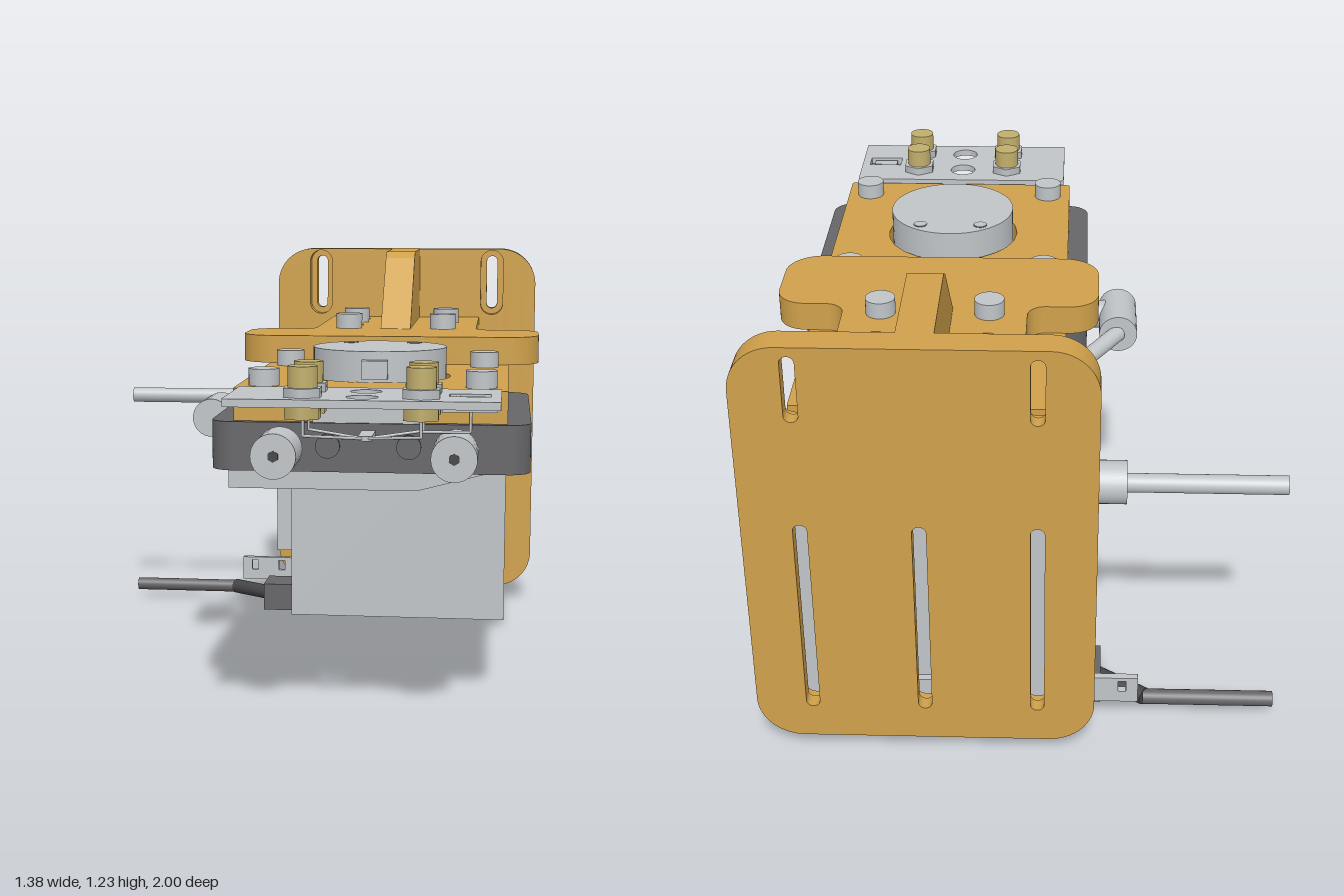
import * as THREE from 'three';

const mat = (name, color) => Object.assign(new THREE.MeshStandardMaterial({ color }), { name });

// Rounded rectangle outline; works for shapes and for slot holes
function roundRect(p, x0, y0, x1, y1, r) {
  p.moveTo(x0 + r, y0);
  p.lineTo(x1 - r, y0); p.absarc(x1 - r, y0 + r, r, -Math.PI / 2, 0);
  p.lineTo(x1, y1 - r); p.absarc(x1 - r, y1 - r, r, 0, Math.PI / 2);
  p.lineTo(x0 + r, y1); p.absarc(x0 + r, y1 - r, r, Math.PI / 2, Math.PI);
  p.lineTo(x0, y0 + r); p.absarc(x0 + r, y0 + r, r, Math.PI, Math.PI * 1.5);
  return p;
}
const circle = (x, y, r) => new THREE.Path().absarc(x, y, r, 0, Math.PI * 2);

export function createModel() {
  const model = new THREE.Group();
  const tan = mat('tan printed plastic', 0xd0a14b);
  const grey = mat('light grey metal', 0xc1c5c8);
  const dark = mat('dark grey housing', 0x666669);
  const brass = mat('brass', 0xc2af6c);
  const green = mat('green circuit board', 0x2f7a52);
  const black = mat('black socket', 0x454547);

  const add = (name, geo, m) => {
    const mesh = new THREE.Mesh(geo, m);
    mesh.name = name;
    model.add(mesh);
    return mesh;
  };
  const box = (name, m, x0, x1, y0, y1, z0, z1) =>
    add(name, new THREE.BoxGeometry(x1 - x0, y1 - y0, z1 - z0), m)
      .position.set((x0 + x1) / 2, (y0 + y1) / 2, (z0 + z1) / 2);
  // Cylinder between two points
  const rod = (name, m, a, b, r, sides = 32) => {
    const p = new THREE.Vector3(...a), q = new THREE.Vector3(...b), d = q.clone().sub(p);
    const mesh = add(name, new THREE.CylinderGeometry(r, r, d.length(), sides), m);
    mesh.position.copy(p).add(q).multiplyScalar(0.5);
    mesh.quaternion.setFromUnitVectors(new THREE.Vector3(0, 1, 0), d.normalize());
  };
  const extrude = (shape, depth) =>
    new THREE.ExtrudeGeometry(shape, { depth, bevelEnabled: false, curveSegments: 12 });
  // Horizontal slab; shape coordinates are (x, -z)
  const slab = (name, m, shape, y0, y1) =>
    add(name, extrude(shape, y1 - y0).rotateX(-Math.PI / 2).translate(0, y0, 0), m);

  // Upright mounting plate: narrow slots behind, wide counterbores in front
  for (const [z0, z1, hw, grow] of [[-1, -0.96, 0.018, 0], [-0.96, -0.917, 0.038, 0.02]]) {
    const s = roundRect(new THREE.Shape(), -0.2, 0.048, 0.692, 1.232, 0.12);
    for (const [x, y0, y1] of [[-0.05, 1.027, 1.207], [0.543, 1.027, 1.207],
      [-0.05, 0.147, 0.727], [0.246, 0.147, 0.727], [0.543, 0.147, 0.727]])
      s.holes.push(roundRect(new THREE.Path(), x - hw, y0 - grow, x + hw, y1 + grow, hw - 0.0005));
    add('mountingPlate', extrude(s, z1 - z0).translate(0, 0, z0), tan);
  }

  // Upper arm with a wide rounded shoulder
  const arm = new THREE.Shape();
  arm.moveTo(-0.005, 0.92);
  arm.lineTo(-0.005, 0.375);
  arm.absarc(-0.055, 0.375, 0.05, 0, -Math.PI / 2, true);
  arm.lineTo(-0.12, 0.325);
  arm.absarc(-0.12, 0.245, 0.08, Math.PI / 2, Math.PI);
  arm.lineTo(-0.2, 0.125);
  arm.absarc(-0.1, 0.125, 0.1, Math.PI, Math.PI * 1.5);
  arm.lineTo(0.592, 0.025);
  arm.absarc(0.592, 0.125, 0.1, -Math.PI / 2, 0);
  arm.lineTo(0.692, 0.245);
  arm.absarc(0.612, 0.245, 0.08, 0, Math.PI / 2);
  arm.lineTo(0.55, 0.325);
  arm.absarc(0.55, 0.375, 0.05, -Math.PI / 2, -Math.PI, true);
  arm.lineTo(0.5, 0.92);
  for (const x of [0.098, 0.395]) for (const z of [0.8, 0.515]) arm.holes.push(circle(x, z, 0.035));
  slab('upperArm', tan, arm, 0.915, 0.997);

  // Stiffening rib between arm and mounting plate
  const rib = new THREE.Shape([[0.325, 0.98], [0.92, 0.98], [0.92, 1.232], [0.6, 1.232],
    [0.56, 1.212], [0.34, 0.997]].map(p => new THREE.Vector2(...p)));
  add('rib', extrude(rib, 0.094).rotateY(Math.PI / 2).translate(0.2, 0, 0), tan);

  // Lower plate with the opening for the round sensor
  const lower = roundRect(new THREE.Shape(), -0.11, -0.692, 0.602, 0.735, 0.005);
  lower.holes.push(circle(0.246, -0.32, 0.197));
  slab('lowerPlate', tan, lower, 0.83, 0.915);

  // Round sensor with key tab and pin holes
  rod('roundSensor', grey, [0.246, 0.825, 0.32], [0.246, 0.997, 0.32], 0.185, 64);
  box('sensorTab', grey, 0.211, 0.281, 0.925, 0.975, 0.49, 0.535);
  for (const x of [0.155, 0.335]) {
    rod('pinHole', dark, [x, 0.99, 0.2], [x, 0.998, 0.2], 0.021);
    rod('pinCap', grey, [x, 0.99, 0.2], [x, 0.999, 0.2], 0.018);
  }

  // Plate screws, and arm bolts with nuts
  for (const x of [-0.04, 0.532]) for (const z of [0.033, 0.605])
    rod('plateScrew', grey, [x, 0.905, z], [x, 0.96, z], 0.041);
  for (const x of [0.098, 0.395]) for (const z of [-0.37, -0.655]) {
    rod('armBolt', grey, [x, 0.985, z], [x, 1.043, z], 0.041);
    rod('armNut', grey, [x, 0.793, z], [x, 0.835, z], 0.045, 6);
  }

  // Dark sensor housing and its faceted underside cover
  slab('housing', dark, roundRect(new THREE.Shape(), -0.17, -0.715, 0.662, 0.07, 0.06), 0.702, 0.83);
  const cover = new THREE.Shape([[-0.124, 0.652], [0.37, 0.652], [0.54, 0.697], [0.6, 0.704],
    [-0.124, 0.704]].map(p => new THREE.Vector2(...p)));
  add('undersideCover', extrude(cover, 0.732).translate(0, 0, -0.042), grey);
  for (const x of [-0.14, 0.602]) for (const z of [0.5, 0.18])
    rod('housingScrew', grey, [x, 0.682, z], [x, 0.706, z], 0.022);

  // Front fittings of the housing
  for (const x of [0.02, 0.471]) {
    rod('frontFitting', grey, [x, 0.765, 0.745], [x, 0.765, 0.885], 0.058);
    rod('fittingNeck', grey, [x, 0.765, 0.71], [x, 0.765, 0.75], 0.045);
    rod('hexSocket', black, [x, 0.765, 0.88], [x, 0.765, 0.887], 0.015, 6);
  }
  for (const x of [0.14, 0.35]) rod('frontPlug', dark, [x, 0.77, 0.71], [x, 0.77, 0.722], 0.032);
  box('frontShield', grey, 0.1, 0.39, 0.83, 0.9, 0.7, 0.708);

  // Small front board with holes, brass posts, hex nuts and thin leads
  const board = roundRect(new THREE.Shape(), -0.09, -1, 0.585, -0.71, 0.002);
  for (const z of [0.795, 0.925]) board.holes.push(circle(0.246, -z, 0.04));
  board.holes.push(roundRect(new THREE.Path(), 0.457, -0.887, 0.56, -0.83, 0.002));
  slab('frontBoard', grey, board, 0.902, 0.922);
  box('boardClip', grey, 0.44, 0.575, 0.885, 0.893, 0.81, 0.905);
  box('slotInsert', grey, 0.472, 0.545, 0.89, 0.918, 0.842, 0.875);
  for (const x of [0.1, 0.391]) for (const z of [0.795, 0.925]) {
    rod('upperNut', grey, [x, 0.92, z], [x, 0.945, z], 0.052, 6);
    rod('brassPost', brass, [x, 0.93, z], [x, 0.998, z], 0.037);
    rod('lowerNut', brass, [x, 0.868, z], [x, 0.905, z], 0.049, 6);
    rod('lead', grey, [x, 0.822, z], [x, 0.87, z], 0.004, 8);
    rod('lead', grey, [x, 0.824, z], [0.246, 0.805, 0.82], 0.004, 8);
  }
  box('leadBar', grey, 0.228, 0.264, 0.8, 0.812, 0.71, 0.83);
  rod('lead', grey, [0.51, 0.83, 0.86], [0.51, 0.89, 0.86], 0.004, 8);
  rod('lead', grey, [0.391, 0.83, 0.86], [0.51, 0.83, 0.86], 0.004, 8);

  // Hanging controller box with a rim around the recessed circuit board
  box('controllerBox', grey, -0.11, 0.602, 0.03, 0.783, -0.88, -0.535);
  const rim = roundRect(new THREE.Shape(), -0.11, 0.535, 0.602, 0.88, 0.001);
  rim.holes.push(roundRect(new THREE.Path(), -0.095, 0.55, 0.587, 0.865, 0.001));
  slab('boxRim', grey, rim, 0.015, 0.03);
  box('circuitBoard', green, -0.03, 0.587, 0.024, 0.032, -0.865, -0.55);
  box('chip', grey, 0.19, 0.26, 0.018, 0.026, -0.74, -0.67);
  box('boardConnector', grey, -0.08, -0.03, 0.016, 0.032, -0.64, -0.57);
  for (const x of [0.01, 0.54]) for (const z of [-0.82, -0.595])
    rod('boardScrew', grey, [x, 0.017, z], [x, 0.026, z], 0.022);
  box('sideCover', grey, -0.175, -0.1, 0.208, 0.48, -0.84, -0.67);
  box('backTab', grey, -0.03, 0.52, 0.09, 0.16, -0.9, -0.87);

  // Cable bracket with two slots, cable plug and cable
  const bracket = roundRect(new THREE.Shape(), -0.32, 0.065, -0.1, 0.145, 0.002);
  for (const x of [-0.277, -0.182])
    bracket.holes.push(roundRect(new THREE.Path(), x - 0.011, 0.1, x + 0.011, 0.135, 0.002));
  add('cableBracket', extrude(bracket, 0.02).translate(0, 0, -0.862), grey);
  box('cablePlug', dark, -0.22, -0.09, 0, 0.09, -0.79, -0.655);
  rod('cableBoot', black, [-0.34, 0.045, -0.815], [-0.21, 0.045, -0.725], 0.024);
  rod('cable', dark, [-0.692, 0.045, -0.815], [-0.335, 0.045, -0.815], 0.021);

  // Air line: rear hose, rear connector, front elbow and the hose between
  rod('rearHose', grey, [-0.692, 0.727, -0.782], [-0.26, 0.727, -0.782], 0.025);
  rod('rearConnector', grey, [-0.275, 0.727, -0.78], [-0.147, 0.727, -0.78], 0.057);
  rod('rearStub', grey, [-0.15, 0.727, -0.78], [-0.1, 0.727, -0.78], 0.042);
  rod('elbow', grey, [-0.262, 0.765, -0.05], [-0.262, 0.765, 0.135], 0.056);
  rod('elbowStub', grey, [-0.25, 0.765, 0.078], [-0.16, 0.765, 0.078], 0.042);
  rod('linkHose', grey, [-0.262, 0.765, -0.04], [-0.01, 0.72, -0.38], 0.024);
  rod('boxConnector', grey, [-0.02, 0.73, -0.37], [0.02, 0.727, -0.495], 0.056);
  rod('connectorStub', grey, [0.02, 0.727, -0.49], [0.02, 0.727, -0.54], 0.042);

  return model;
}
